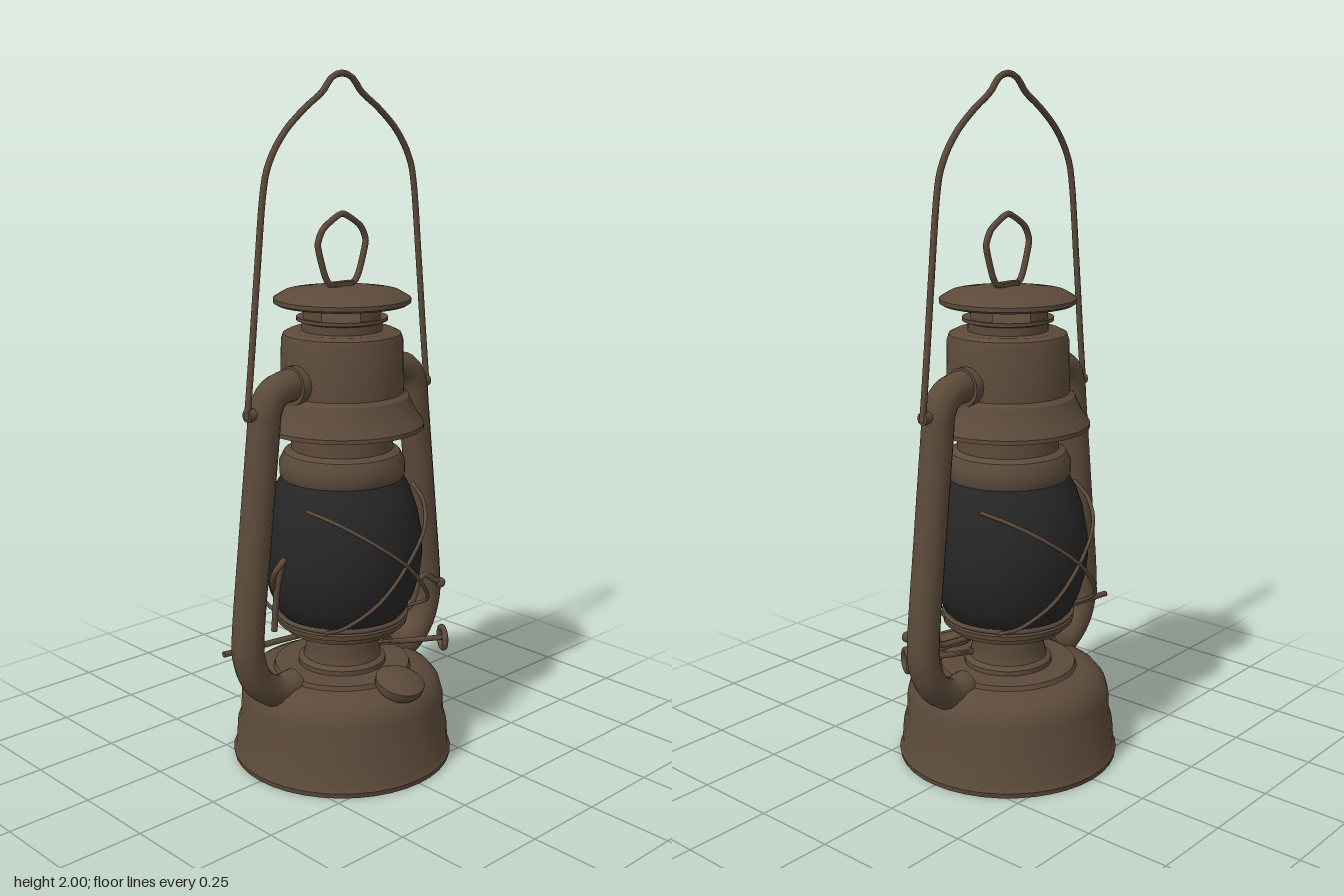
import * as THREE from 'three';
import { toCreasedNormals } from 'three/addons/utils/BufferGeometryUtils.js';

export function createModel() {
  const lantern = new THREE.Group();
  lantern.name = 'lantern';
  const metal = new THREE.MeshStandardMaterial({ color: 0x5c4a3a });
  metal.name = 'aged brown metal';
  const glass = new THREE.MeshStandardMaterial({ color: 0x262626 });
  glass.name = 'smoked glass';

  const add = (name, geometry, material = metal, parent = lantern) => {
    const mesh = new THREE.Mesh(geometry, material);
    mesh.name = name;
    parent.add(mesh);
    return mesh;
  };
  // Turned part from [radius, height] pairs, listed from underside to top
  const turned = (name, pts, material = metal, parent = lantern, seg = 40) =>
    add(name, toCreasedNormals(new THREE.LatheGeometry(
      pts.map(([r, y]) => new THREE.Vector2(r, y)), seg), 0.6), material, parent);
  // Round wire or pipe through the given points
  const pipe = (name, pts, radius, { closed = false, tension = 0.5, steps = 48, sides = 8 } = {}) =>
    add(name, new THREE.TubeGeometry(new THREE.CatmullRomCurve3(
      pts.map(p => new THREE.Vector3(...p)), closed, 'catmullrom', tension), steps, radius, sides, closed));

  // Fuel tank
  turned('fuelTank', [[0, 0], [0.325, 0], [0.328, 0.015], [0.32, 0.03], [0.315, 0.1], [0.305, 0.13],
    [0.302, 0.19], [0.292, 0.225], [0.27, 0.252], [0.235, 0.268], [0.205, 0.272], [0.2, 0.285], [0, 0.288]]);

  // Burner and the gallery that holds the globe
  turned('burner', [[0, 0.28], [0.13, 0.28], [0.13, 0.3], [0.115, 0.31], [0.105, 0.35], [0.11, 0.37],
    [0.1, 0.4], [0, 0.4]]);
  turned('globeGallery', [[0, 0.39], [0.14, 0.39], [0.17, 0.4], [0.175, 0.415], [0.192, 0.42],
    [0.195, 0.435], [0.18, 0.445], [0, 0.445]]);

  // Glass globe
  turned('glassGlobe', [[0.17, 0.44], [0.19, 0.46], [0.213, 0.51], [0.23, 0.57], [0.236, 0.63],
    [0.233, 0.69], [0.22, 0.76], [0.2, 0.82], [0.175, 0.865]], glass);

  // Chimney collar, hood and vent
  turned('chimneyCollar', [[0, 0.855], [0.175, 0.855], [0.182, 0.87], [0.183, 0.905], [0.168, 0.935],
    [0.148, 0.945], [0.145, 1.08]]);
  turned('hood', [[0.14, 1.08], [0.175, 1.07], [0.205, 1.04], [0.222, 1.008], [0.236, 1.008],
    [0.236, 1.02], [0.215, 1.05], [0.198, 1.085], [0.192, 1.1], [0.177, 1.11], [0.174, 1.26],
    [0.168, 1.278], [0.15, 1.287], [0, 1.287]]);
  turned('ventRing', [[0, 1.28], [0.115, 1.28], [0.115, 1.31], [0.13, 1.315], [0.13, 1.325], [0, 1.325]]);
  turned('chimneyCap', [[0, 1.365], [0.15, 1.365], [0.185, 1.36], [0.195, 1.366], [0.195, 1.378],
    [0.182, 1.386], [0.165, 1.396], [0.1, 1.406], [0, 1.412]]);

  // Four curved plates carry the cap
  for (let i = 0; i < 4; i++) {
    const width = 0.68;
    add('ventPost', new THREE.CylinderGeometry(0.12, 0.12, 0.06, 8, 1, true,
      i * Math.PI / 2 - width / 2, width), ventMaterial(metal)).position.y = 1.344;
  }

  // Lifting ring on the cap
  pipe('liftingRing', [[-0.02, 1.412, 0], [-0.05, 1.42, 0], [-0.068, 1.45, 0], [-0.092, 1.53, 0],
    [-0.07, 1.575, 0], [0, 1.612, 0], [0.07, 1.575, 0], [0.092, 1.53, 0], [0.068, 1.45, 0],
    [0.05, 1.42, 0], [0.02, 1.412, 0]], 0.009, { tension: 0.3, steps: 60 });
  add('ringBracket', new THREE.BoxGeometry(0.07, 0.02, 0.025)).position.y = 1.413;

  // Side air tubes, with an eye for the bail on each
  for (const s of [1, -1]) {
    pipe(s > 0 ? 'leftAirTube' : 'rightAirTube', [[0.15, 1.15], [0.215, 1.152], [0.263, 1.135], [0.289, 1.09],
      [0.298, 1.02], [0.332, 0.73], [0.362, 0.46], [0.357, 0.375], [0.325, 0.308], [0.26, 0.262],
      [0.19, 0.265]].map(([x, y]) => [s * x, y, 0]), 0.046, { steps: 72, sides: 14 });
    const collar = add('tubeCollar', new THREE.CylinderGeometry(0.056, 0.056, 0.03, 16));
    collar.position.set(s * 0.18, 1.15, 0);
    collar.rotation.z = Math.PI / 2;
    const eye = add('bailEye', new THREE.CylinderGeometry(0.018, 0.018, 0.05, 10));
    eye.position.set(s * 0.33, 1.09, 0);
    eye.rotation.z = Math.PI / 2;
  }

  // Carrying bail with a peak in the middle
  const half = [[0.353, 1.08], [0.335, 1.24], [0.312, 1.46], [0.287, 1.68], [0.262, 1.765], [0.21, 1.838],
    [0.14, 1.897], [0.075, 1.94], [0.04, 1.978]];
  pipe('carryingBail', [...half.map(([x, y]) => [-x, y, 0]), [0, 1.991, 0],
    ...half.slice().reverse().map(([x, y]) => [x, y, 0])], 0.009, { steps: 100 });

  // Crossed guard wires on the front and back of the globe
  for (const z of [1, -1]) for (const s of [1, -1]) {
    pipe('globeGuardWire', [[-0.16, 0.44, 0.1], [-0.16, 0.485, 0.19], [-0.09, 0.555, 0.25], [0, 0.645, 0.265],
      [0.1, 0.725, 0.235], [0.17, 0.78, 0.165], [0.212, 0.81, 0.08]].map(
      ([x, y, d]) => [s * x, y, z * d]), 0.006, { sides: 6 });
  }
  // Wire ring that the guard hangs from
  const guardRing = add('guardRing', new THREE.TorusGeometry(0.19, 0.007, 6, 40));
  guardRing.rotation.x = Math.PI / 2;
  guardRing.position.y = 0.447;

  // Globe lifting lever running across under the gallery
  pipe('globeLever', [[-0.4, 0.395, -0.064], [-0.2, 0.395, -0.032], [0, 0.395, 0], [0.235, 0.395, 0.038],
    [0.262, 0.42, 0.043], [0.28, 0.475, 0.047], [0.305, 0.492, 0.05], [0.34, 0.468, 0.056],
    [0.37, 0.45, 0.06]], 0.009, { tension: 0.3, steps: 64 });
  add('leverTip', new THREE.SphereGeometry(0.016, 10, 8)).position.set(0.365, 0.453, 0.06);

  // Wick winder: spindle and wire loop
  pipe('wickSpindle', [[0.07, 0.325, 0.04], [0.27, 0.325, 0.155]], 0.009, { steps: 2 });
  const knob = add('wickKnob', new THREE.TorusGeometry(0.032, 0.009, 8, 20));
  knob.position.set(0.272, 0.325, 0.157);
  knob.rotation.y = Math.PI / 3;

  // Wire latch on the right air tube
  pipe('tubeLatch', [[-0.3, 0.47, 0.04], [-0.3, 0.6, 0.055], [-0.295, 0.67, 0.07], [-0.315, 0.695, 0.1],
    [-0.338, 0.67, 0.095], [-0.325, 0.63, 0.065], [-0.305, 0.6, 0.045]], 0.009);

  // Tilted filler cap on the front of the tank
  const filler = new THREE.Group();
  filler.name = 'fillerCap';
  filler.position.set(0, 0.235, 0.225);
  filler.rotation.x = 0.3;
  lantern.add(filler);
  turned('fillerNeck', [[0, -0.02], [0.05, -0.02], [0.05, 0.035], [0, 0.035]], metal, filler, 20);
  turned('fillerLid', [[0, 0.025], [0.058, 0.025], [0.07, 0.04], [0.072, 0.062], [0.06, 0.07], [0, 0.073]],
    metal, filler, 20);
  return lantern;
}

// Open plates are seen from both sides
function ventMaterial(material) {
  material.side = THREE.DoubleSide;
  return material;
}
